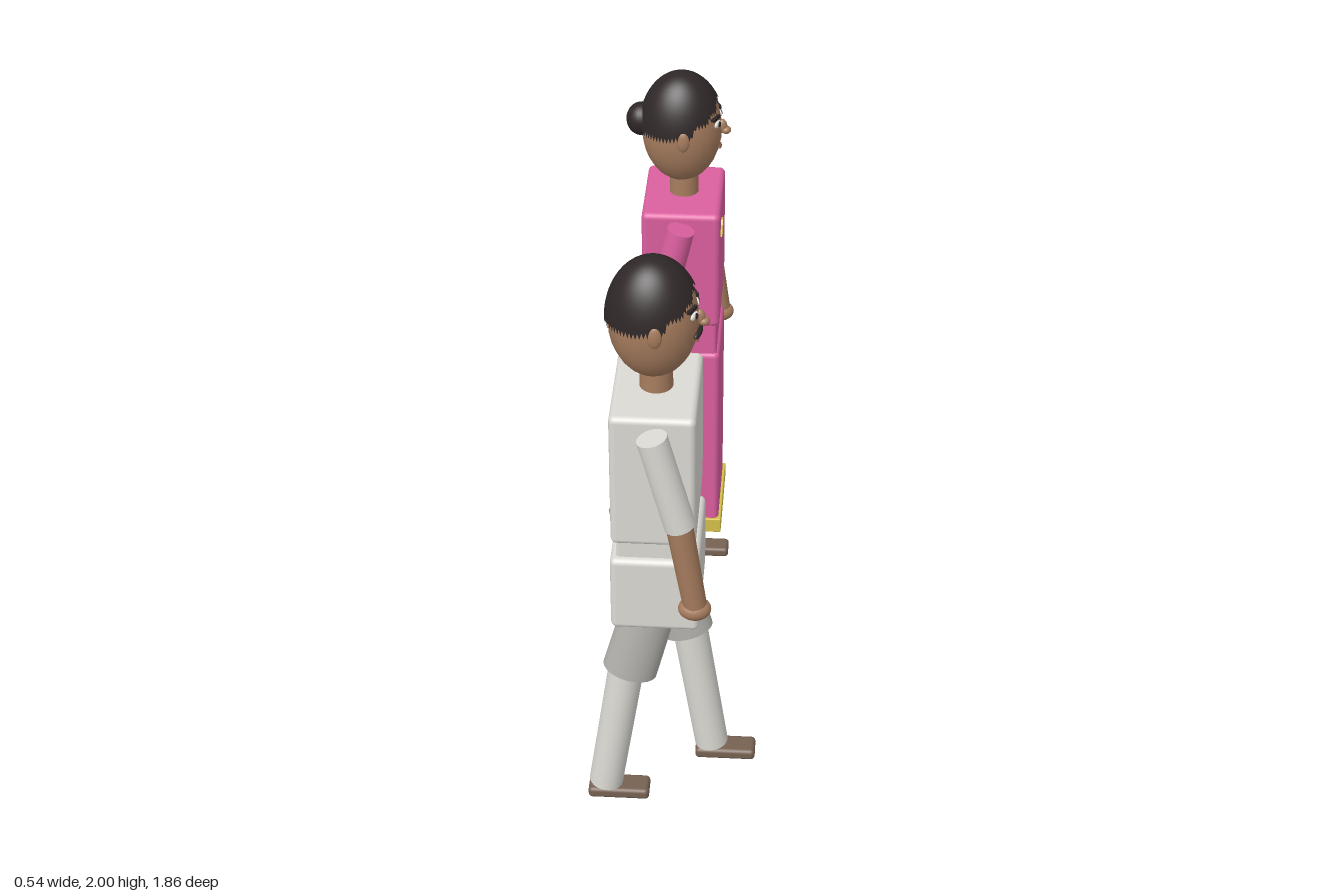
import * as THREE from 'three';
import { RoundedBoxGeometry } from 'three/addons/geometries/RoundedBoxGeometry.js';

const mat = (name, color, extra = {}) => {
  const m = new THREE.MeshStandardMaterial({ color, ...extra });
  m.name = name;
  return m;
};

export function createModel() {
  const M = {
    skin: mat('skin', 0xa67c5e),
    hair: mat('hair', 0x2f2727, { side: THREE.DoubleSide }),
    white: mat('white cloth', 0xdcdad4),
    grey: mat('grey cloth', 0xb4b2ad),
    pink: mat('pink cloth', 0xdb5f9f),
    gold: mat('gold trim', 0xd4c04a, { side: THREE.DoubleSide }),
    shoe: mat('shoe brown', 0x766152),
    eye: mat('eye white', 0xf0eeea),
    lip: mat('lip', 0x85583f),
  };
  const model = new THREE.Group();

  const add = (parent, name, geo, material, x = 0, y = 0, z = 0) => {
    const m = new THREE.Mesh(geo, material);
    m.name = name;
    m.position.set(x, y, z);
    parent.add(m);
    return m;
  };
  // rounded box given by its limits in x and y, and its width in z
  const block = (p, name, material, x0, x1, y0, y1, w, r = 0.02, z = 0) =>
    add(p, name, new RoundedBoxGeometry(x1 - x0, y1 - y0, w, 3, r), material, (x0 + x1) / 2, (y0 + y1) / 2, z);
  const ball = (p, name, material, x, y, z, rx, ry, rz) => {
    const m = add(p, name, new THREE.SphereGeometry(1, 24, 16), material, x, y, z);
    m.scale.set(rx, ry, rz);
    return m;
  };
  // tapered cylinder between two points in a plane of constant z
  const limb = (p, name, material, [x0, y0], [x1, y1], z, rTop, rBottom, flatZ = 1) => {
    const dx = x0 - x1, dy = y0 - y1;
    const m = add(p, name, new THREE.CylinderGeometry(rTop, rBottom, Math.hypot(dx, dy), 24),
      material, (x0 + x1) / 2, (y0 + y1) / 2, z);
    m.rotation.z = -Math.atan2(dx, dy);
    m.scale.z = flatZ;
    return m;
  };

  // hairline: [angle from the face in degrees, height on a unit sphere]
  const hairline = [[0, 0.6], [10, 0.48], [16, 0.53], [28, 0.36], [38, 0.38], [50, 0.24],
    [68, 0.22], [76, 0.0], [95, 0.02], [110, -0.02], [180, -0.03]];
  const edgeAt = (deg) => {
    for (let i = 1; i < hairline.length; i++) {
      const [a0, h0] = hairline[i - 1], [a1, h1] = hairline[i];
      if (deg <= a1) return h0 + (h1 - h0) * (deg - a0) / (a1 - a0);
    }
    return hairline[hairline.length - 1][1];
  };
  const hairGeometry = () => {
    const g = new THREE.SphereGeometry(1, 72, 16);
    const pos = g.attributes.position, uv = g.attributes.uv;
    for (let i = 0; i < pos.count; i++) {
      const phi = uv.getX(i) * Math.PI * 2;
      const cx = -Math.cos(phi), cz = Math.sin(phi);
      const deg = Math.abs(Math.atan2(cz, cx)) * 180 / Math.PI;
      const t = (1 - uv.getY(i)) * Math.acos(edgeAt(deg));
      const k = Math.sin(t);
      pos.setXYZ(i, cx * k, Math.cos(t), cz * k);
      g.attributes.normal.setXYZ(i, cx * k, Math.cos(t), cz * k);
    }
    return g;
  };

  // head with face, hair and ears, centred at height cy
  const buildHead = (p, cy, moustache) => {
    const head = new THREE.Group();
    head.name = 'head';
    head.position.set(-0.053, cy, 0);
    p.add(head);
    const R = [0.136, 0.193, 0.119];
    const faceX = (y, z) => R[0] * Math.sqrt(Math.max(0, 1 - (y / R[1]) ** 2 - (z / R[2]) ** 2));
    ball(head, 'skull', M.skin, 0, 0, 0, ...R);
    add(head, 'hair', hairGeometry(), M.hair).scale.set(0.145, 0.205, 0.127);
    for (const s of [-1, 1]) {
      ball(head, 'ear', M.skin, 0.012, 0.005, s * 0.12, 0.022, 0.037, 0.012);
      const turn = (m) => { m.rotation.y = -s * 0.42; };
      const ze = s * 0.044, xe = faceX(0.037, ze);
      turn(ball(head, 'eye', M.eye, xe, 0.037, ze, 0.007, 0.012, 0.021));
      turn(ball(head, 'pupil', M.hair, xe + 0.005, 0.037, ze, 0.005, 0.01, 0.01));
      const brow = add(head, 'eyebrow', new THREE.BoxGeometry(0.012, 0.011, 0.046), M.hair,
        faceX(0.062, s * 0.05) + 0.002, 0.062, s * 0.05);
      turn(brow);
    }
    ball(head, 'nose', M.skin, faceX(0.01, 0), 0.008, 0, 0.018, 0.026, 0.014);
    ball(head, 'nose tip', M.skin, faceX(-0.008, 0) + 0.014, -0.006, 0, 0.017, 0.014, 0.017);
    ball(head, 'mouth', M.lip, faceX(-0.066, 0), -0.066, 0, 0.008, 0.006, 0.022);
    if (moustache) {
      for (const s of [-1, 1]) {
        const m = ball(head, 'moustache', M.hair, faceX(-0.033, s * 0.023) + 0.002, -0.033, s * 0.023, 0.011, 0.011, 0.03);
        m.rotation.y = -s * 0.25;
        m.rotation.x = s * 0.12;
      }
    }
    return head;
  };

  // arms swing in opposite directions
  const buildArms = (p, z, swing, shoulderY, cuffY, wristY, sleeve) => {
    for (const s of [-1, 1]) {
      const d = s * swing, x0 = -0.042;
      const cuff = [x0 + d * 0.65, cuffY], wrist = [x0 + d, wristY];
      const arm = new THREE.Group();
      arm.name = s > 0 ? 'forward arm' : 'rear arm';
      arm.position.z = s * z[0] * z[1];
      p.add(arm);
      limb(arm, 'sleeve', sleeve, [x0, shoulderY], cuff, 0, 0.047, 0.048);
      limb(arm, 'forearm', M.skin, [cuff[0] - d * 0.04, cuffY + 0.02], wrist, 0, 0.042, 0.037);
      ball(arm, 'hand', M.skin, wrist[0], wristY - 0.018, 0, 0.051, 0.036, 0.042);
    }
  };

  // walking man
  const man = new THREE.Group();
  man.name = 'man';
  man.position.z = 0.64;
  model.add(man);
  block(man, 'torso', M.white, -0.175, 0.085, 1.095, 1.56, 0.383);
  block(man, 'waist', M.white, -0.16, 0.07, 1.0, 1.12, 0.32, 0.012);
  block(man, 'hips', M.white, -0.18, 0.095, 0.76, 1.028, 0.365);
  limb(man, 'neck', M.skin, [-0.045, 1.68], [-0.045, 1.55], 0, 0.048, 0.051);
  buildHead(man, 1.795, true);
  buildArms(man, [0.24, 1], 0.127, 1.53, 1.215, 0.92, M.white);
  for (const s of [-1, 1]) {
    const d = -s, z = s * 0.106;
    const leg = new THREE.Group();
    leg.name = s < 0 ? 'forward leg' : 'rear leg';
    man.add(leg);
    limb(leg, 'thigh', M.grey, [-0.045, 0.86], [-0.045 + d * 0.083, 0.54], z, 0.084, 0.088, 0.77);
    limb(leg, 'shin', M.white, [-0.045 + d * 0.091, 0.57], [-0.045 + d * 0.168, 0.055], z, 0.057, 0.055);
    const fx = d * 0.17;
    block(leg, 'shoe', M.shoe, fx - 0.1, fx + 0.1, 0.005, 0.045, 0.085, 0.014, z);
  }

  // woman in a long skirt
  const woman = new THREE.Group();
  woman.name = 'woman';
  woman.position.z = -0.66;
  model.add(woman);
  block(woman, 'blouse', M.pink, -0.18, 0.088, 1.05, 1.495, 0.36);
  block(woman, 'waistband', M.pink, -0.165, 0.078, 0.92, 1.07, 0.325, 0.012);
  block(woman, 'skirt', M.pink, -0.175, 0.09, 0.18, 0.935, 0.342);
  block(woman, 'hem', M.gold, -0.187, 0.1, 0.158, 0.217, 0.36, 0.004);
  limb(woman, 'neck', M.skin, [-0.045, 1.62], [-0.045, 1.49], 0, 0.047, 0.05);
  const herHead = buildHead(woman, 1.737, false);
  ball(herHead, 'hair bun', M.hair, -0.135, 0.028, 0, 0.053, 0.058, 0.053);
  buildArms(woman, [0.223, -1], 0.113, 1.465, 1.155, 0.888, M.pink);
  for (const [x, z] of [[0.028, 0.096], [-0.118, -0.103]]) {
    block(woman, 'shoe', M.shoe, x - 0.098, x + 0.098, 0.005, 0.043, 0.075, 0.013, z);
  }

  // leaf brooch on the blouse and bow on the side of the waist
  const plate = (pts) => new THREE.ExtrudeGeometry(
    new THREE.Shape(pts.map(([x, y]) => new THREE.Vector2(x, y))), { depth: 0.009, bevelEnabled: false });
  const brooch = add(woman, 'brooch',
    plate([[-0.045, 0], [0.0, 0.022], [0.012, 0.036], [0.035, 0.033], [0.036, 0.0], [0.026, -0.034], [0, -0.022]]),
    M.gold, 0.085, 1.405, 0.115);
  brooch.rotation.y = Math.PI / 2;
  const bow = new THREE.Group();
  bow.name = 'waist bow';
  bow.position.set(-0.1, 1.02, -0.168);
  woman.add(bow);
  for (const s of [-1, 1]) {
    const loop = add(bow, 'bow loop', new THREE.ConeGeometry(0.034, 0.06, 12), M.gold, s * 0.03, 0, 0);
    loop.rotation.z = s * Math.PI / 2;
    loop.scale.z = 0.5;
  }
  ball(bow, 'bow knot', M.gold, 0, 0, -0.006, 0.016, 0.018, 0.014);

  return model;
}
